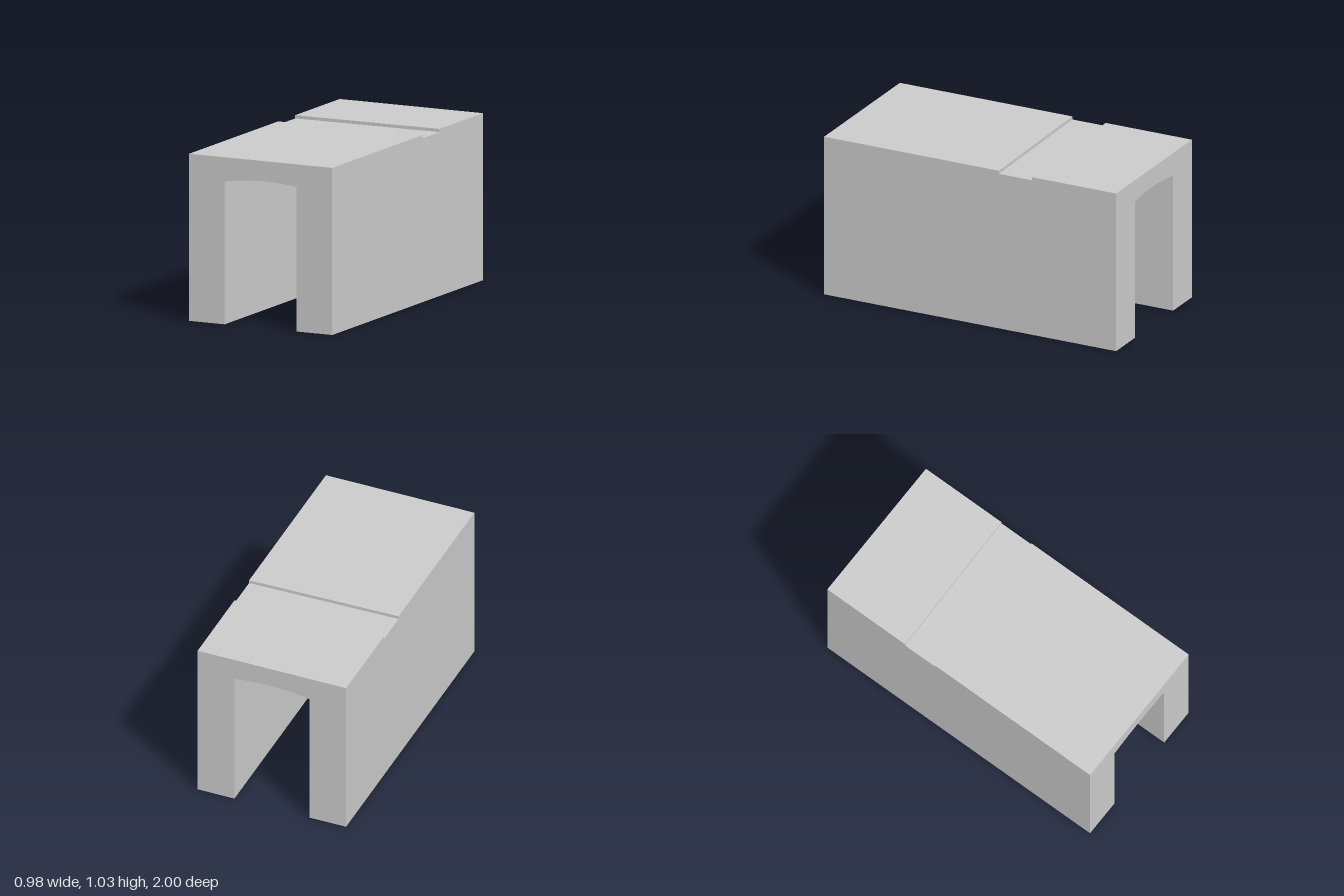
import * as THREE from 'three';

const HALF_WIDTH = 0.49, INNER = 0.247, HEIGHT = 1.03, GROOVE_FLOOR = 1.01;

// Stations from back to front: z at the -x side, z at the +x side, roof height
const STATIONS = [
  [-1.0, -0.99, HEIGHT],
  [-0.412, -0.418, HEIGHT],
  [-0.412, -0.418, GROOVE_FLOOR],
  [-0.185, -0.192, GROOVE_FLOOR],
  [-0.185, -0.192, HEIGHT],
  [0.99, 1.0, HEIGHT],
];

// Slightly lopsided shallow arch of the ceiling
const archY = (x) => 0.905 - 0.315 * (x - 0.029) ** 2;

// Cross-section: two legs joined by an arched roof
function tunnelProfile() {
  const shape = new THREE.Shape();
  shape.moveTo(-HALF_WIDTH, 0);
  shape.lineTo(-INNER, 0);
  const segments = 20;
  for (let i = 0; i <= segments; i++) {
    const x = -INNER + (2 * INNER * i) / segments;
    shape.lineTo(x, archY(x));
  }
  shape.lineTo(INNER, 0);
  shape.lineTo(HALF_WIDTH, 0);
  shape.lineTo(HALF_WIDTH, HEIGHT);
  shape.lineTo(-HALF_WIDTH, HEIGHT);
  shape.closePath();
  return shape;
}

export function createModel() {
  const steps = STATIONS.length - 1;
  const geometry = new THREE.ExtrudeGeometry(tunnelProfile(), { depth: steps, steps, bevelEnabled: false });

  // Move each extrusion step to its station, lowering the roof inside the groove
  const pos = geometry.attributes.position;
  for (let i = 0; i < pos.count; i++) {
    const [zLow, zHigh, top] = STATIONS[Math.round(pos.getZ(i))];
    const t = (pos.getX(i) + HALF_WIDTH) / (2 * HALF_WIDTH);
    pos.setZ(i, THREE.MathUtils.lerp(zLow, zHigh, t));
    pos.setY(i, Math.min(pos.getY(i), top));
  }
  geometry.computeVertexNormals();

  const body = new THREE.Mesh(geometry, new THREE.MeshStandardMaterial({ color: 0xcccccc }));
  body.name = 'archedTunnelWithRoofGroove';
  const group = new THREE.Group();
  group.name = 'tunnelBlock';
  group.add(body);
  return group;
}
